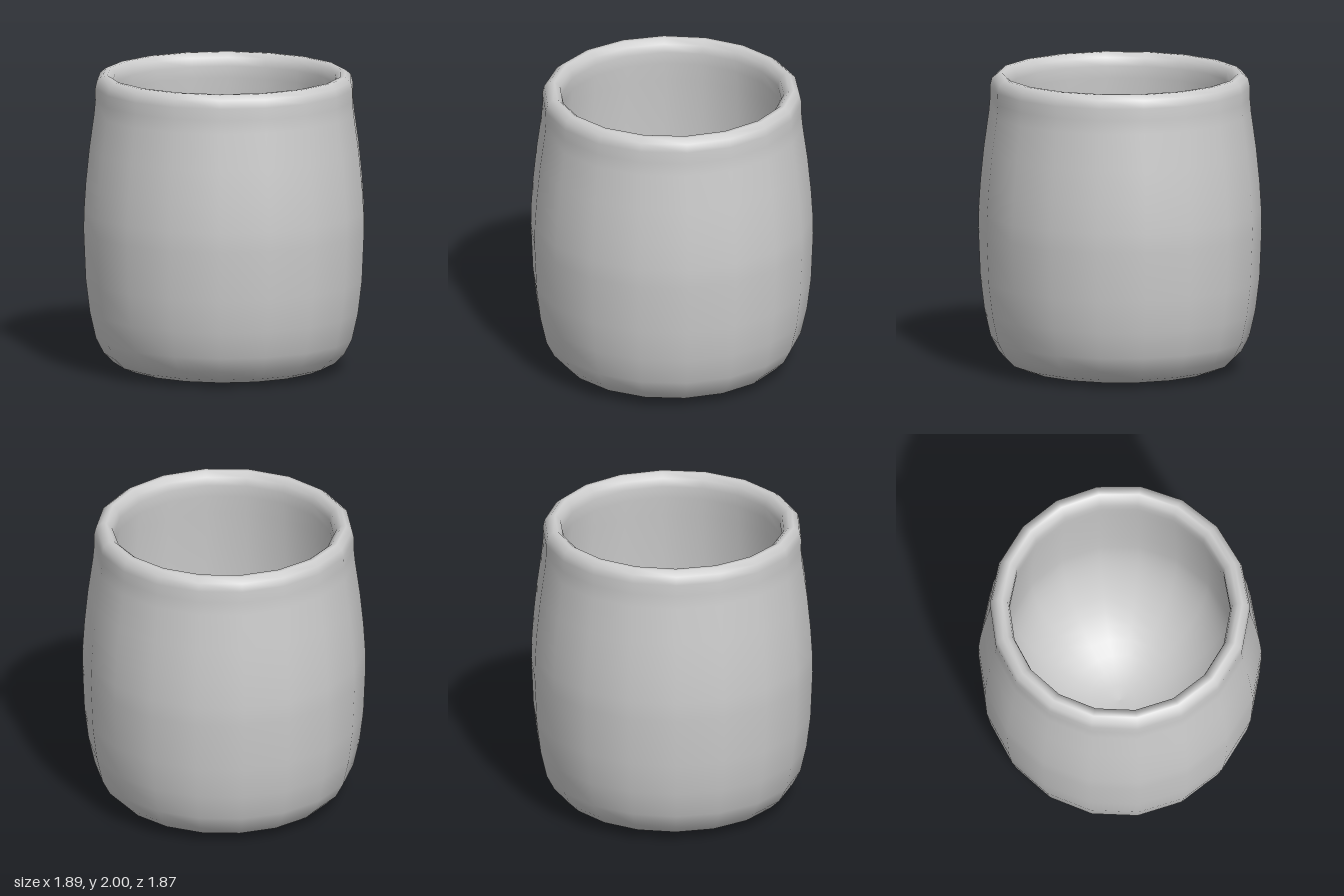
import * as THREE from 'three';

const rad = THREE.MathUtils.degToRad;

export function createModel() {
  const group = new THREE.Group();
  group.name = 'cup';

  // Base, outer wall, rolled rim and upper inner wall as [radius, height]
  const profile = [
    [0, 0], [0.35, 0], [0.56, 0.005], [0.66, 0.02], [0.745, 0.055], [0.81, 0.12], [0.862, 0.22],
    [0.903, 0.4], [0.93, 0.62], [0.944, 0.95], [0.942, 1.08], [0.93, 1.27], [0.907, 1.5],
    [0.874, 1.74], [0.866, 1.83], [0.867, 1.91], [0.854, 1.965], [0.815, 1.997],
    [0.785, 1.997], [0.748, 1.965], [0.736, 1.91], [0.737, 1.83], [0.747, 1.7],
    [0.762, 1.45], [0.772, 1.2],
  ].map(([r, y]) => new THREE.Vector2(r, y));

  // Deep rounded bowl inside, from the wall down to the centre
  const steps = 12;
  for (let i = 0; i <= steps; i++) {
    const a = (i / steps) * Math.PI / 2;
    profile.push(new THREE.Vector2(0.775 * Math.cos(a), 1 - 0.88 * Math.sin(a)));
  }

  const geometry = new THREE.LatheGeometry(profile, 18, rad(8.2));

  // Slight hand-made unevenness in the spacing of the 18 sides
  const pos = geometry.attributes.position;
  for (let i = 0; i < pos.count; i++) {
    const x = pos.getX(i), z = pos.getZ(i);
    const r = Math.hypot(x, z);
    const a = Math.atan2(x, z);
    const b = a + rad(1.8) * Math.cos(a - rad(140));
    pos.setX(i, r * Math.sin(b));
    pos.setZ(i, r * Math.cos(b));
  }

  const body = new THREE.Mesh(geometry, new THREE.MeshStandardMaterial({ color: 0xcccccc }));
  body.name = 'cupBody';
  group.add(body);
  return group;
}
